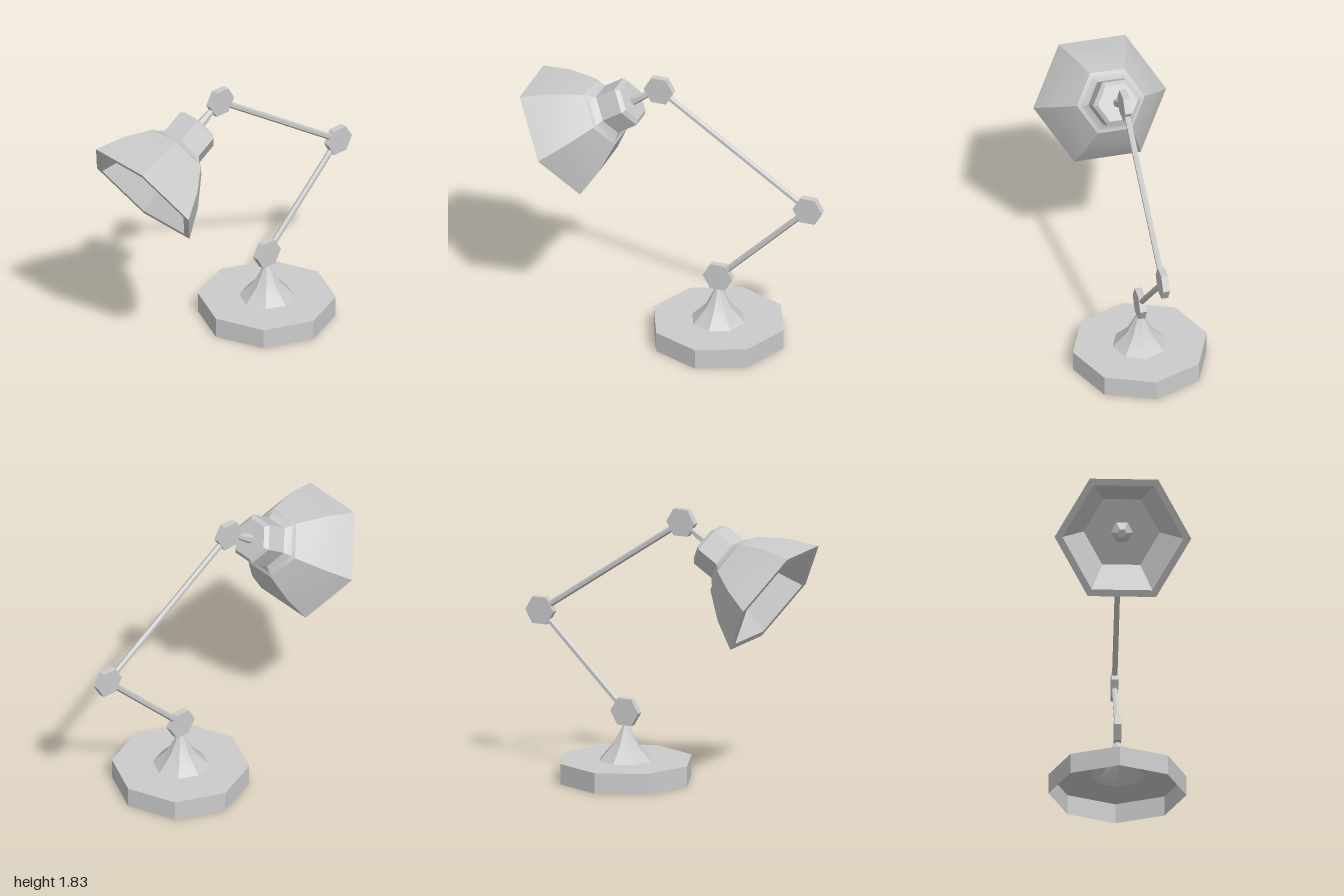
import * as THREE from 'three';
import { toCreasedNormals } from 'three/addons/utils/BufferGeometryUtils.js';

const material = new THREE.MeshStandardMaterial({ color: 0xcccccc });
const openMaterial = new THREE.MeshStandardMaterial({ color: 0xcccccc, side: THREE.DoubleSide });

// Faceted solid of revolution from [radius, height] pairs
function lathe(name, profile, sides, phiStart, mat = material) {
  const points = profile.map(([r, y]) => new THREE.Vector2(r, y));
  const geometry = toCreasedNormals(new THREE.LatheGeometry(points, sides, phiStart), 0.5);
  const mesh = new THREE.Mesh(geometry, mat);
  mesh.name = name;
  return mesh;
}

// Six-sided rod between two points
function rod(name, from, to, rFrom, rTo) {
  const dir = to.clone().sub(from);
  const geometry = toCreasedNormals(new THREE.CylinderGeometry(rTo, rFrom, dir.length(), 6), 0.5);
  const mesh = new THREE.Mesh(geometry, material);
  mesh.name = name;
  mesh.position.copy(from).add(to).multiplyScalar(0.5);
  mesh.quaternion.setFromUnitVectors(new THREE.Vector3(0, 1, 0), dir.normalize());
  return mesh;
}

// Flat hexagonal hinge disc, axis along x
function joint(name, position) {
  const geometry = toCreasedNormals(new THREE.CylinderGeometry(0.101, 0.101, 0.045, 6), 0.5);
  geometry.rotateZ(Math.PI / 2);
  const mesh = new THREE.Mesh(geometry, material);
  mesh.name = name;
  mesh.position.copy(position);
  return mesh;
}

export function createModel() {
  const model = new THREE.Group();
  model.name = 'deskLamp';

  // Hollow octagonal foot rising into a flared cone
  const base = lathe('base', [
    [0.443, 0], [0.443, 0.135], [0.18, 0.135], [0.085, 0.235], [0.022, 0.36], [0, 0.36],
  ], 8, 0, openMaterial);
  base.position.z = -0.28;
  model.add(base);

  // Hinges and arms
  const low = new THREE.Vector3(0, 0.45, -0.28);
  const elbow = new THREE.Vector3(0, 1.055, -0.895);
  const high = new THREE.Vector3(0, 1.745, 0.125);
  model.add(
    joint('lowerJoint', low),
    joint('elbowJoint', elbow),
    joint('headJoint', high),
    rod('lowerArm', low, elbow, 0.02, 0.02),
    rod('upperArm', elbow, high, 0.02, 0.02),
  );

  // Head: local +y runs from the rim back to the neck
  const head = new THREE.Group();
  head.name = 'head';
  head.position.set(0, 1.318, 0.795);
  head.rotation.x = -0.998;
  model.add(head);

  // Hexagonal shade: inner floor, inner wall, rim, outer wall, cap
  head.add(lathe('shade', [
    [0, 0.28], [0.245, 0.28], [0.39, 0],
    [0.44, 0], [0.348, 0.188], [0.225, 0.357], [0.198, 0.368],
    [0.16, 0.405], [0.16, 0.556], [0.133, 0.58], [0, 0.58],
  ], 6, Math.PI / 2));

  // Bulb
  head.add(lathe('bulb', [
    [0, 0.215], [0.03, 0.215], [0.073, 0.26], [0.035, 0.285],
  ], 6, Math.PI / 2));

  // Tapered neck up to the head joint
  head.add(rod('neck', new THREE.Vector3(0, 0.57, 0), new THREE.Vector3(0, 0.79, 0), 0.034, 0.012));

  return model;
}
